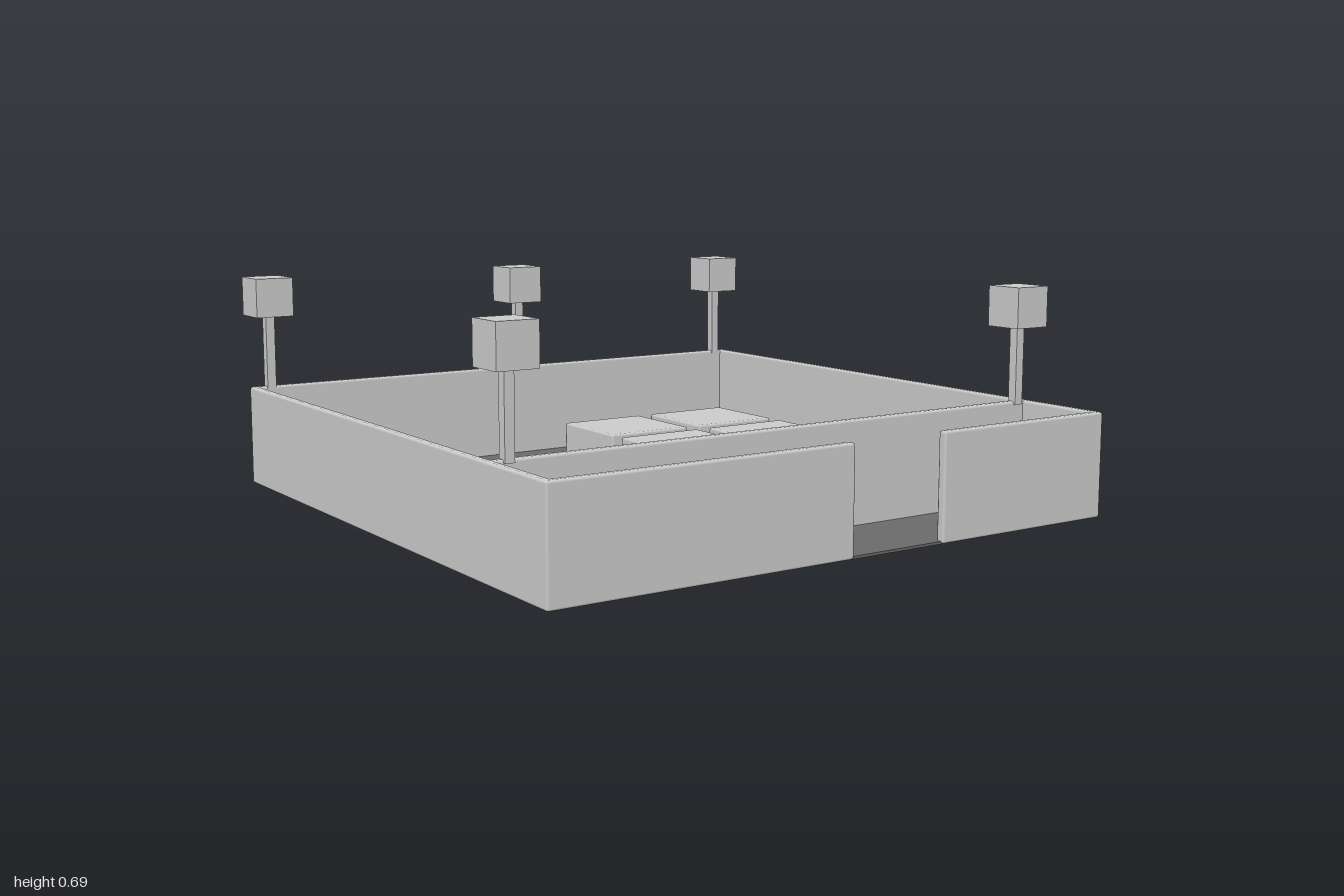
import * as THREE from 'three';
import { RoundedBoxGeometry } from 'three/addons/geometries/RoundedBoxGeometry.js';

const grey = new THREE.MeshStandardMaterial({ color: 0xcccccc });
const dark = new THREE.MeshStandardMaterial({ color: 0x6a6a6a });

// Box given by its min and max corners; bevel > 0 softens the edges.
function box(name, [x0, y0, z0], [x1, y1, z1], bevel = 0, material = grey) {
  const w = x1 - x0, h = y1 - y0, d = z1 - z0;
  const geometry = bevel
    ? new RoundedBoxGeometry(w, h, d, 1, bevel)
    : new THREE.BoxGeometry(w, h, d);
  const mesh = new THREE.Mesh(geometry, material);
  mesh.name = name;
  mesh.position.set((x0 + x1) / 2, (y0 + y1) / 2, (z0 + z1) / 2);
  return mesh;
}

export function createModel() {
  const model = new THREE.Group();
  model.name = 'walledYard';

  // Thin dark floor, reaching into the doorway
  model.add(box('floor', [-0.965, 0, -0.945], [0.952, 0.008, 0.988], 0, dark));

  // Outer walls, front wall split by the doorway, and inner partition
  const walls = new THREE.Group();
  walls.name = 'walls';
  const top = 0.325, bevel = 0.008;
  const L = -0.975, R = 0.962, B = -0.953, F = 0.998, T = 0.029;
  const wall = (name, x0, x1, z0, z1) =>
    walls.add(box(name, [x0, 0.001, z0], [x1, top, z1], bevel));
  wall('rightWall', L, L + T, B, F);
  wall('leftWall', R - T, R, B, F);
  wall('backWall', L, R, B, B + T);
  wall('frontWallRight', L, -0.007, F - T, F);
  wall('frontWallLeft', 0.32, R, F - T, F);
  wall('partition', L + 0.01, R - 0.01, 0.667, 0.696);
  model.add(walls);

  // Three columns of low square blocks
  const blocks = new THREE.Group();
  blocks.name = 'blocks';
  for (const x of [-0.715, 0.32, 0.692])
    for (const z of [-0.653, -0.277, 0.091])
      blocks.add(box('block', [x - 0.16, 0.001, z - 0.16], [x + 0.16, 0.12, z + 0.16], 0.008));
  model.add(blocks);

  // Lamp posts standing on the walls
  for (const [x, z] of [[-0.908, -0.937], [0.035, -0.937], [0.908, -0.937], [-0.908, 0.687], [0.908, 0.687]]) {
    const lamp = new THREE.Group();
    lamp.name = 'lampPost';
    lamp.add(box('pole', [-0.015, 0.315, -0.015], [0.015, 0.57, 0.015]));
    lamp.add(box('lampHead', [-0.063, 0.56, -0.063], [0.063, 0.687, 0.063]));
    lamp.position.set(x, 0, z);
    model.add(lamp);
  }
  return model;
}
